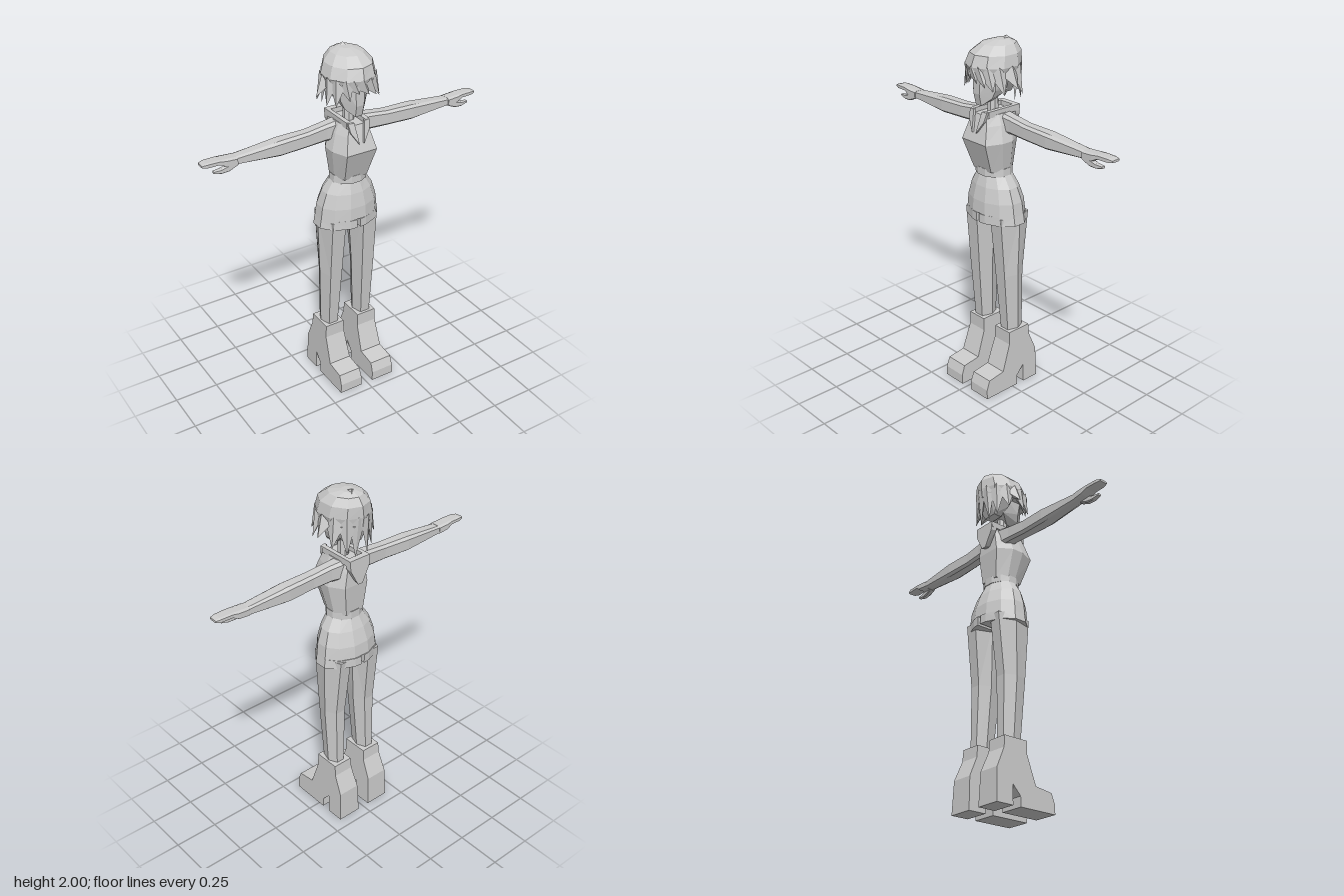
import * as THREE from 'three';
import { ConvexGeometry } from 'three/addons/geometries/ConvexGeometry.js';

const V = (x, y, z) => new THREE.Vector3(x, y, z);
const circle = (n) => Array.from({ length: n }, (_, i) => {
  const a = ((i + 0.5) / n) * Math.PI * 2;
  return [Math.cos(a), Math.sin(a)];
});

// Flat-faced, capped skin over a list of closed rings
function loft(rings) {
  const pos = [];
  const tri = (...pts) => pts.forEach((p) => pos.push(p.x, p.y, p.z));
  const centre = (r) => r.reduce((s, p) => s.add(p), V(0, 0, 0)).divideScalar(r.length);
  const n = rings[0].length;
  const first = rings[0], last = rings[rings.length - 1];
  for (let j = 0; j < n; j++) {
    const k = (j + 1) % n;
    for (let i = 0; i + 1 < rings.length; i++) {
      const lo = rings[i], hi = rings[i + 1];
      tri(lo[j], hi[j], lo[k]);
      tri(lo[k], hi[j], hi[k]);
    }
    tri(centre(first), first[j], first[k]);
    tri(centre(last), last[k], last[j]);
  }
  const g = new THREE.BufferGeometry();
  g.setAttribute('position', new THREE.Float32BufferAttribute(pos, 3));
  g.computeVertexNormals();
  return g;
}

// Rows: [y, centre x, half x, front z, back z]
const upright = (outline, rows) => loft(rows.map(([y, cx, hx, zf, zb]) =>
  outline.map(([u, v]) => V(cx + u * hx, y, (zf + zb) / 2 + (v * (zf - zb)) / 2))));
// Rows: [x, bottom y, top y, front z, back z]
const sideways = (outline, rows) => loft(rows.map(([x, y0, y1, zf, zb]) =>
  outline.map(([u, v]) => V(x, (y0 + y1) / 2 + (v * (y1 - y0)) / 2, (zf + zb) / 2 + (u * (zf - zb)) / 2))));

const hull = (pts) => new ConvexGeometry(pts.map((p) => V(...p)));

// Mirrored copy across x with the winding restored
function mirror(geometry) {
  const g = geometry.clone().scale(-1, 1, 1);
  const p = g.attributes.position;
  const a = V(0, 0, 0), b = V(0, 0, 0);
  for (let i = 0; i < p.count; i += 3) {
    a.fromBufferAttribute(p, i + 1);
    b.fromBufferAttribute(p, i + 2);
    p.setXYZ(i + 1, b.x, b.y, b.z);
    p.setXYZ(i + 2, a.x, a.y, a.z);
  }
  g.computeVertexNormals();
  return g;
}

export function createModel() {
  const model = new THREE.Group();
  const grey = new THREE.MeshStandardMaterial({ color: 0xcccccc });
  grey.name = 'light grey';

  const add = (name, geometry) => {
    const mesh = new THREE.Mesh(geometry, grey);
    mesh.name = name;
    model.add(mesh);
  };
  const addPair = (name, geometry) => {
    add('left' + name, geometry);
    add('right' + name, mirror(geometry));
  };

  // Boots: side profile extruded, narrower at the ankle
  const profile = [[0.195, 0], [0.195, 0.055], [0.175, 0.11], [0.07, 0.125], [0.018, 0.28],
    [0.018, 0.355], [-0.13, 0.355], [-0.135, 0.29], [-0.183, 0.18], [-0.19, 0],
    [-0.085, 0], [-0.085, 0.11], [-0.035, 0.055], [-0.035, 0]];
  const boot = new THREE.ExtrudeGeometry(
    new THREE.Shape(profile.map(([z, y]) => new THREE.Vector2(z, y))),
    { depth: 0.14, bevelEnabled: false });
  boot.rotateY(-Math.PI / 2).translate(0.07, 0, 0);
  const bp = boot.attributes.position;
  for (let i = 0; i < bp.count; i++) {
    bp.setX(i, 0.106 + bp.getX(i) * (1 - 0.5 * bp.getY(i)));
  }
  boot.computeVertexNormals();
  addPair('Boot', boot);

  // Legs
  const legShape = [[1, -0.1], [0.6, 1], [-0.6, 1], [-1, -0.1], [-0.5, -1], [0.5, -1]];
  addPair('Leg', upright(legShape, [
    [0.33, 0.107, 0.046, 0.0, -0.11],
    [0.7, 0.103, 0.06, 0.033, -0.107],
    [1.05, 0.097, 0.07, 0.063, -0.145],
  ]));

  // Shorts: hips, with a slit between the two hems
  const round = circle(12);
  add('shorts', upright(round, [
    [1.06, 0, 0.182, 0.1, -0.165],
    [1.13, 0, 0.173, 0.097, -0.158],
    [1.21, 0, 0.146, 0.082, -0.132],
    [1.28, 0, 0.1, 0.06, -0.1],
  ]));
  const hem = [[1.01, 0.19], [1.06, 0.182]].map(([y, hx]) =>
    [-90, -75, -45, -15, 15, 45, 75, 90].map((d) => {
      const a = (d * Math.PI) / 180;
      return V(Math.max(0.01, Math.cos(a) * hx), y, -0.034 + Math.sin(a) * 0.135);
    }));
  addPair('ShortsHem', loft(hem));
  add('belt', upright(round, [[1.272, 0, 0.104, 0.077, -0.108], [1.314, 0, 0.102, 0.077, -0.108]]));

  // Torso
  const chest = [[1, -0.35], [1, 0.25], [0.72, 1], [-0.72, 1], [-1, 0.25], [-1, -0.35], [-0.6, -1], [0.6, -1]];
  add('torso', upright(chest, [
    [1.3, 0, 0.094, 0.067, -0.1],
    [1.47, 0, 0.125, 0.128, -0.112],
    [1.56, 0, 0.096, 0.1, -0.108],
    [1.612, 0, 0.07, 0.083, -0.1],
  ]));

  // Arms and hands
  const square = [[1, -0.7], [1, 0.7], [0.6, 1], [-0.6, 1], [-1, 0.7], [-1, -0.7], [-0.6, -1], [0.6, -1]];
  addPair('Arm', sideways(square, [
    [0.05, 1.505, 1.612, 0.0, -0.085],
    [0.13, 1.513, 1.604, 0.0, -0.075],
    [0.24, 1.51, 1.592, 0.005, -0.07],
    [0.4, 1.505, 1.588, 0.009, -0.077],
    [0.645, 1.524, 1.566, -0.002, -0.067],
  ]));
  addPair('Hand', sideways(square, [
    [0.64, 1.522, 1.567, 0.004, -0.07],
    [0.7, 1.528, 1.57, 0.004, -0.072],
    [0.735, 1.548, 1.572, 0.0, -0.068],
    [0.8, 1.548, 1.572, -0.003, -0.066],
    [0.825, 1.554, 1.566, -0.01, -0.058],
  ]));
  addPair('Thumb', sideways(square, [
    [0.645, 1.522, 1.545, 0.004, -0.03],
    [0.69, 1.503, 1.54, 0.004, -0.028],
    [0.73, 1.502, 1.528, 0.004, -0.024],
    [0.77, 1.512, 1.524, 0.0, -0.02],
  ]));

  // Neck
  add('neck', upright(circle(8), [[1.58, 0, 0.032, 0.025, -0.04], [1.72, 0, 0.028, 0.018, -0.035]]));

  // Collar: side bands, front lapels and a pointed back flap
  const band = [];
  const lapel = [];
  for (const y of [1.602, 1.636]) {
    band.push([0.04, y, 0.1], [0.066, y, 0.08], [0.066, y, -0.135], [0.045, y, -0.135]);
  }
  for (const d of [0, 0.014]) {
    lapel.push([0.064, 1.634, 0.08 + d], [0.03, 1.634, 0.085 + d],
      [0.014, 1.52, 0.113 + d], [0.056, 1.585, 0.094 + d]);
  }
  addPair('CollarBand', hull(band));
  addPair('Lapel', hull(lapel));
  const flap = [];
  for (const s of [-1, 1]) {
    flap.push([s * 0.066, 1.636, -0.105], [s * 0.066, 1.636, -0.138], [s * 0.066, 1.59, -0.105],
      [s * 0.062, 1.58, -0.14], [s * 0.015, 1.49, -0.143], [s * 0.015, 1.5, -0.112]);
  }
  add('collarFlap', hull(flap));

  // Face with a narrow chin
  const face = [];
  for (const s of [-1, 1]) {
    face.push([s * 0.02, 1.662, 0.092], [s * 0.06, 1.7, 0.055], [s * 0.078, 1.745, 0.045],
      [s * 0.085, 1.85, 0.06], [s * 0.03, 1.85, 0.105], [s * 0.022, 1.725, 0.107],
      [s * 0.06, 1.73, -0.05], [s * 0.03, 1.685, 0], [s * 0.08, 1.85, -0.08]);
  }
  add('face', hull(face));

  // Hair: cap, nape and a ring of pointed strands
  add('hairCap', upright(circle(10), [
    [1.815, 0, 0.124, 0.128, -0.155],
    [1.87, 0, 0.14, 0.142, -0.162],
    [1.93, 0.005, 0.124, 0.122, -0.16],
    [1.972, 0.01, 0.085, 0.06, -0.135],
    [1.988, 0.012, 0.035, -0.02, -0.1],
  ]));
  const nape = [];
  for (const s of [-1, 1]) {
    nape.push([s * 0.115, 1.83, -0.01], [s * 0.1, 1.83, -0.11], [s * 0.045, 1.83, -0.15],
      [s * 0.085, 1.765, -0.03], [s * 0.04, 1.71, -0.1], [s * 0.04, 1.71, -0.05]);
  }
  add('hairNape', hull(nape));
  add('crownTuft', hull([[-0.05, 1.965, -0.06], [0.03, 1.97, -0.03], [0.04, 1.97, -0.12], [0.015, 2, -0.085]]));

  // Rows: [angle from +x towards +z, half spread, tip x, tip y, tip z]
  const strands = [
    [0, 20, 0.176, 1.762, -0.02], [28, 18, 0.152, 1.735, 0.05], [52, 18, 0.118, 1.755, 0.1],
    [72, 16, 0.085, 1.775, 0.125], [92, 16, 0.035, 1.79, 0.135], [112, 14, -0.02, 1.8, 0.132],
    [128, 14, -0.065, 1.765, 0.115], [148, 16, -0.125, 1.735, 0.08], [170, 18, -0.15, 1.73, 0.03],
    [188, 18, -0.18, 1.765, -0.025], [208, 18, -0.145, 1.72, -0.08], [230, 18, -0.09, 1.68, -0.12],
    [255, 18, -0.045, 1.655, -0.14], [282, 18, 0.03, 1.65, -0.135], [306, 18, 0.08, 1.675, -0.13],
    [332, 20, 0.14, 1.715, -0.085],
  ];
  strands.forEach(([angle, spread, ...tip]) => {
    const at = (d, r, y) => {
      const a = ((angle + d) * Math.PI) / 180;
      return [Math.cos(a) * 0.138 * r, y, -0.01 + Math.sin(a) * 0.15 * r];
    };
    add('hairStrand', hull([at(-spread, 0.95, 1.83), at(spread, 0.95, 1.83),
      at(0, 1.02, 1.88), at(0, 0.75, 1.82), tip]));
  });

  return model;
}
